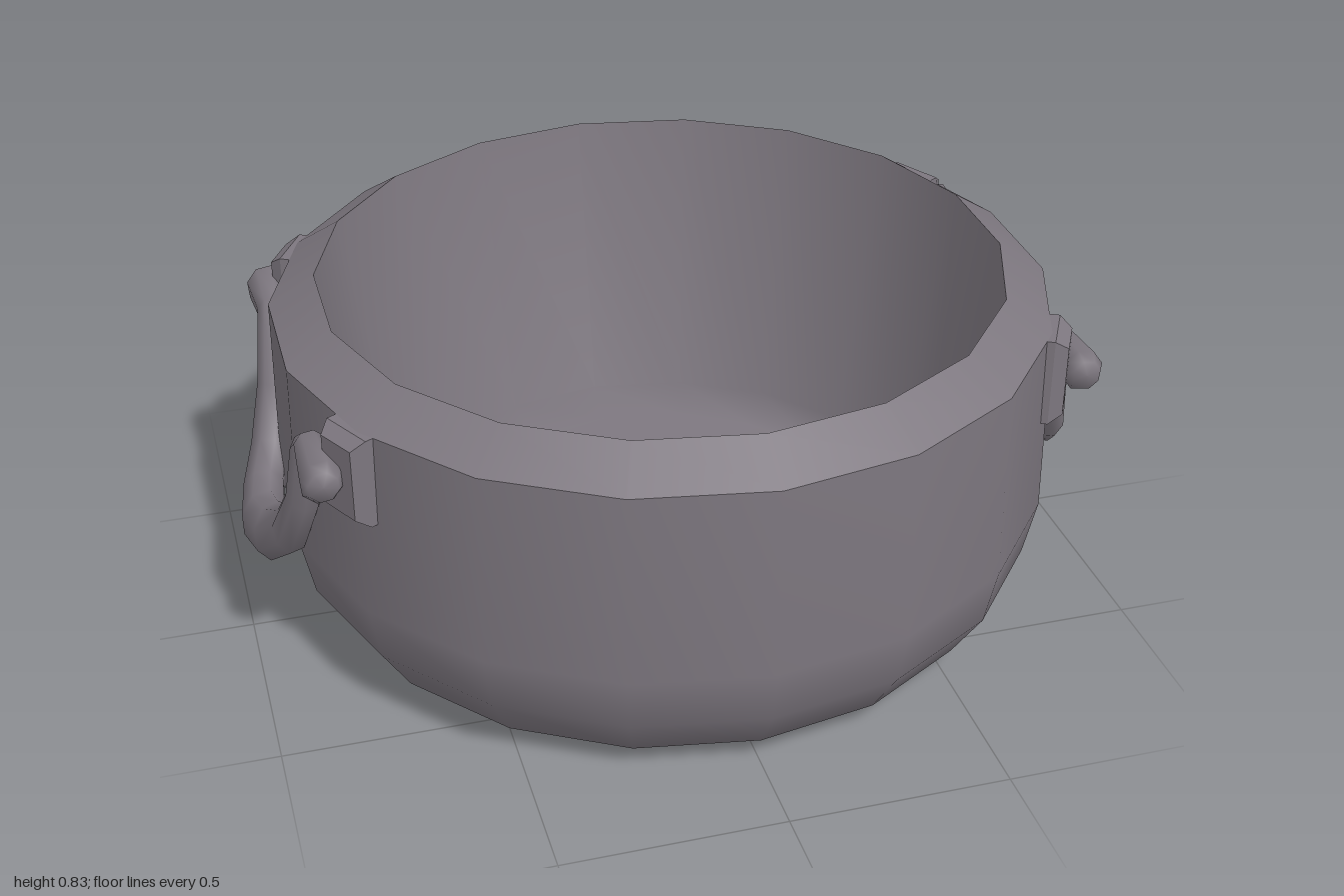
import * as THREE from 'three';

const SIDES = 18;
const metal = new THREE.MeshStandardMaterial({ color: 0x7d777f });
metal.name = 'dark grey metal';

function addMesh(parent, geometry, name) {
  const mesh = new THREE.Mesh(geometry, metal);
  mesh.name = name;
  parent.add(mesh);
  return mesh;
}

// Smooth ring surface; separate calls keep sharp edges between them
function turned(points) {
  return new THREE.LatheGeometry(points.map(([r, y]) => new THREE.Vector2(r, y)), SIDES);
}

// Bar through stations [x, y, z, half height, half thickness along the normal]
function sweptBar(stations, normal, sides) {
  const pos = [], index = [];
  const at = (i) => new THREE.Vector3(...stations[THREE.MathUtils.clamp(i, 0, stations.length - 1)]);
  stations.forEach(([, , , high, thick], i) => {
    const tangent = at(i + 1).sub(at(i - 1)).normalize();
    const across = new THREE.Vector3().crossVectors(tangent, normal).normalize();
    const out = new THREE.Vector3().crossVectors(across, tangent);
    for (let j = 0; j < sides; j++) {
      const a = (j / sides) * Math.PI * 2;
      const p = at(i)
        .addScaledVector(out, Math.cos(a) * thick)
        .addScaledVector(across, Math.sin(a) * high);
      pos.push(p.x, p.y, p.z);
      if (i < stations.length - 1) {
        const k = (j + 1) % sides, b = i * sides, n = b + sides;
        index.push(b + j, b + k, n + j, b + k, n + k, n + j);
      }
    }
  });
  const g = new THREE.BufferGeometry();
  g.setAttribute('position', new THREE.Float32BufferAttribute(pos, 3));
  g.setIndex(index);
  g.computeVertexNormals();
  return g;
}

// Box whose outer face is smaller, with flat faces
function bevelledPlate(width, height, depth) {
  const g = new THREE.BoxGeometry(width, height, depth, 1, 1, 2);
  const p = g.attributes.position;
  for (let i = 0; i < p.count; i++) {
    if (p.getZ(i) > depth * 0.4) {
      p.setX(i, p.getX(i) * 0.75);
      p.setY(i, p.getY(i) * 0.8);
    }
  }
  const flat = g.toNonIndexed();
  flat.computeVertexNormals();
  return flat;
}

function createHandle() {
  const group = new THREE.Group();

  // Half of the drooping bar, mirrored in z
  const half = [
    [0.853, 0.655, 0.476, 0, 0],
    [0.853, 0.655, 0.474, 0.036, 0.034],
    [0.853, 0.655, 0.45, 0.053, 0.048],
    [0.857, 0.66, 0.31, 0.037, 0.036],
    [0.86, 0.64, 0.285, 0.042, 0.038],
    [0.875, 0.5, 0.252, 0.044, 0.04],
    [0.905, 0.375, 0.185, 0.057, 0.044],
    [0.935, 0.317, 0.095, 0.068, 0.048],
  ];
  const stations = [
    ...half,
    [0.948, 0.297, 0, 0.073, 0.052],
    ...half.slice().reverse().map(([x, y, z, high, thick]) => [x, y, -z, high, thick]),
  ];
  addMesh(group, sweptBar(stations, new THREE.Vector3(0.96, 0.27, 0), 8), 'handleBar');

  // Mounting plates on the pot wall
  for (const side of [1, -1]) {
    const angle = Math.PI / 2 - side * THREE.MathUtils.degToRad(28.5);
    const plate = addMesh(group, bevelledPlate(0.13, 0.21, 0.06), 'handlePlate');
    plate.position.set(Math.sin(angle) * 0.902, 0.655, Math.cos(angle) * 0.902);
    plate.rotation.y = angle;
  }
  return group;
}

export function createModel() {
  const model = new THREE.Group();
  model.name = 'cookingPot';

  // Pot body, with an inside that narrows towards the floor
  addMesh(model, turned([[0, 0], [0.72, 0], [0.8, 0.06], [0.872, 0.175], [0.9, 0.31], [0.892, 0.76]]), 'outerWall');
  addMesh(model, turned([[0.892, 0.76], [0.785, 0.83]]), 'rim');
  addMesh(model, turned([[0.785, 0.83], [0.66, 0.12], [0.56, 0.08], [0, 0.08]]), 'innerWall');

  // Handles on both sides
  for (const [name, turn] of [['leftHandle', 0], ['rightHandle', Math.PI]]) {
    const handle = createHandle();
    handle.name = name;
    handle.rotation.y = turn;
    model.add(handle);
  }
  return model;
}
